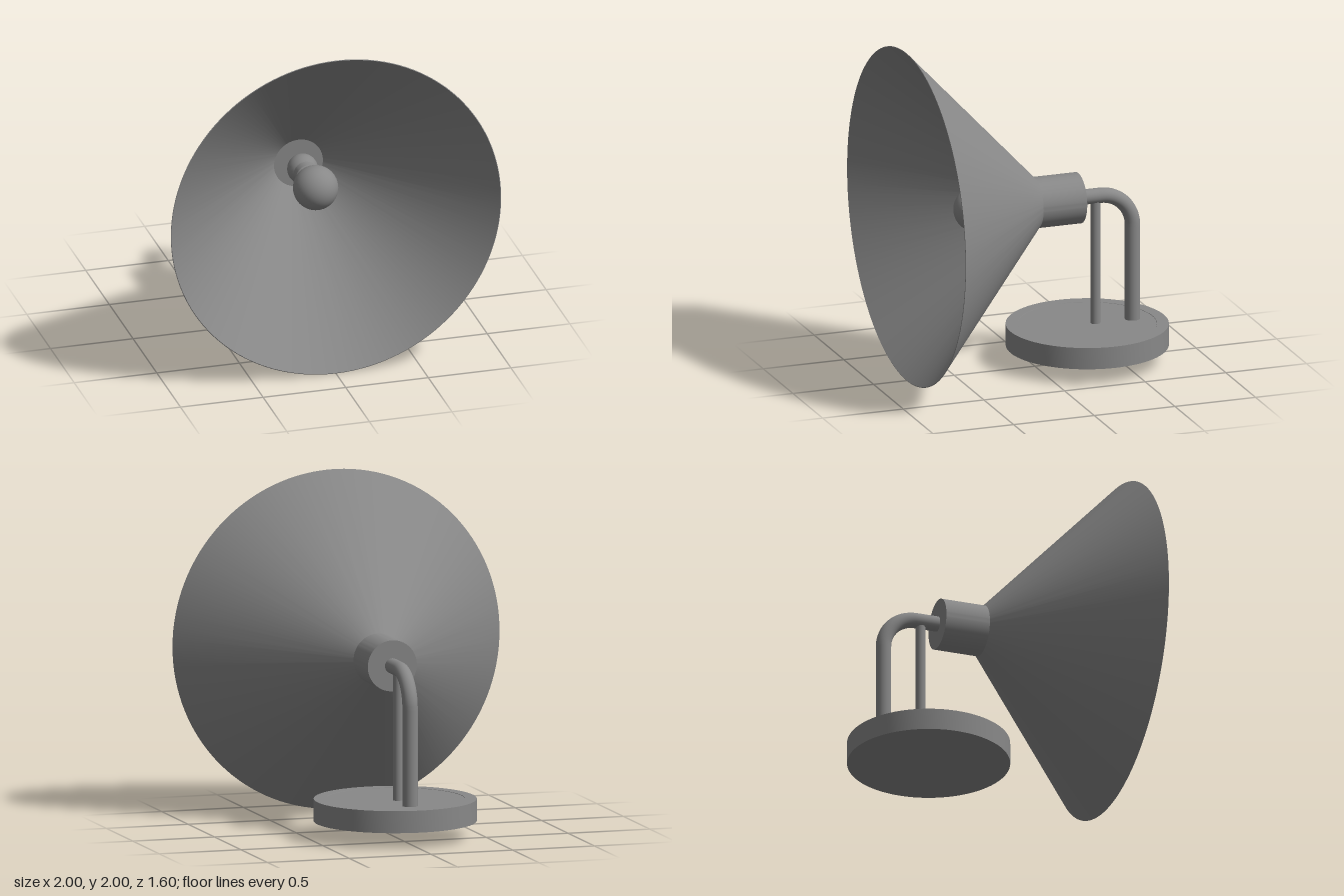
import * as THREE from 'three';
import { toCreasedNormals } from 'three/addons/utils/BufferGeometryUtils.js';

const AXIS_Y = 1.0;    // height of the lamp head axis
const BASE_Z = -0.325; // centre of the round base

const material = new THREE.MeshStandardMaterial({ color: 0x888888, side: THREE.DoubleSide });

function addMesh(group, name, geometry) {
  const mesh = new THREE.Mesh(geometry, material);
  mesh.name = name;
  group.add(mesh);
  return mesh;
}

// Turned part from [radius, height] pairs, listed bottom to top along the outside
function turned(points, segments = 96) {
  const profile = points.map(([r, h]) => new THREE.Vector2(r, h));
  return toCreasedNormals(new THREE.LatheGeometry(profile, segments), 0.5);
}

export function createModel() {
  const lamp = new THREE.Group();
  lamp.name = 'lamp';

  // Round base with a very fine step on its top
  addMesh(lamp, 'base', turned([
    [0, 0.097], [0.475, 0.097], [0.475, 0.227], [0.406, 0.227], [0.405, 0.225], [0, 0.225],
  ])).position.z = BASE_Z;

  // Bent arm: up from the base, round a quarter turn, forward into the socket
  const armZ = -0.605, bend = 0.2;
  const armPath = new THREE.CurvePath();
  const v = (y, z) => new THREE.Vector3(0, y, z);
  const arc = [];
  for (let i = 0; i <= 16; i++) {
    const a = (i / 16) * Math.PI / 2;
    arc.push(v(AXIS_Y - bend + bend * Math.sin(a), armZ + bend - bend * Math.cos(a)));
  }
  armPath.add(new THREE.LineCurve3(v(0.2, armZ), arc[0]));
  armPath.add(new THREE.CatmullRomCurve3(arc));
  armPath.add(new THREE.LineCurve3(arc[16], v(AXIS_Y, -0.25)));
  addMesh(lamp, 'arm', new THREE.TubeGeometry(armPath, 96, 0.045, 24));

  // Thin support post under the arm
  addMesh(lamp, 'post', new THREE.CylinderGeometry(0.029, 0.029, 0.77, 24))
    .position.set(0, 0.595, -0.375);

  // Head: parts turned about the z axis
  const head = new THREE.Group();
  head.name = 'head';
  head.position.y = AXIS_Y;
  head.rotation.x = Math.PI / 2;
  lamp.add(head);

  addMesh(head, 'socket', turned([[0, -0.27], [0.15, -0.27], [0.15, 0], [0, 0]]));

  // Thin-walled conical shade, outside then back down the inside
  addMesh(head, 'shade', turned([[0.15, 0], [1, 0.795], [0.996, 0.797], [0.148, 0.003]], 128));

  // Bulb holder, neck and globe
  addMesh(head, 'bulbHolder', new THREE.SphereGeometry(0.09, 32, 24)).position.y = 0.09;
  addMesh(head, 'bulbNeck', turned([
    [0, 0.08], [0.07, 0.08], [0.07, 0.2], [0.06, 0.21], [0.06, 0.28], [0, 0.28],
  ], 32));
  addMesh(head, 'bulb', new THREE.SphereGeometry(0.132, 48, 32)).position.y = 0.365;

  return lamp;
}
